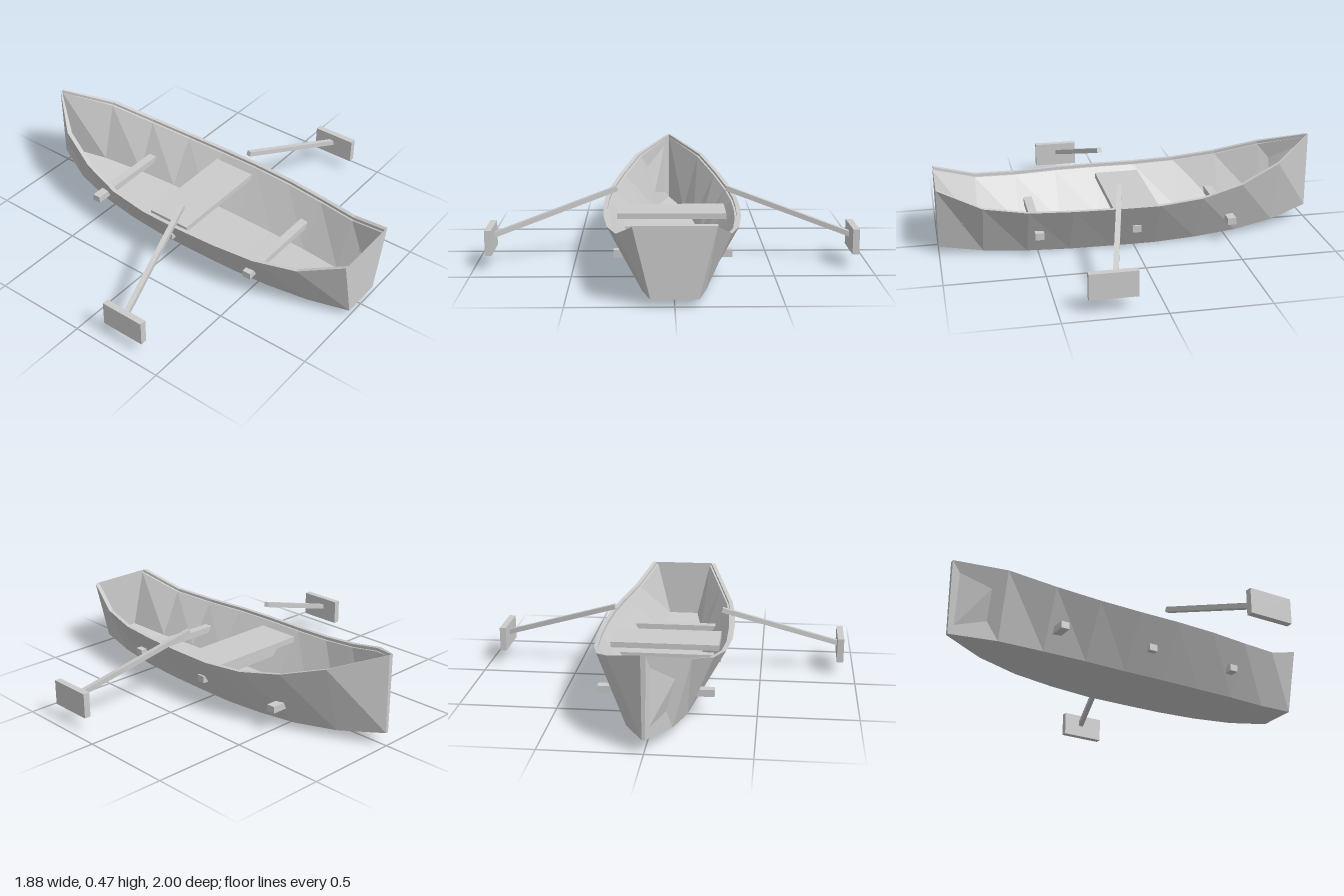
import * as THREE from 'three';

const mat = new THREE.MeshStandardMaterial({ color: 0xcccccc, flatShading: true, side: THREE.DoubleSide });

// Hull stations from stern to bow: [rim half-width, bottom half-width, rim height, bottom height]
const stations = [
  [0.19, 0.11, 0.37, 0.035],
  [0.27, 0.15, 0.285, 0.012],
  [0.32, 0.178, 0.265, 0.004],
  [0.345, 0.19, 0.265, 0],
  [0.355, 0.195, 0.265, 0],
  [0.355, 0.195, 0.265, 0],
  [0.335, 0.185, 0.28, 0.008],
  [0.285, 0.16, 0.32, 0.02],
  [0.2, 0.11, 0.39, 0.042],
  [0.012, 0.008, 0.475, 0.07],
];

function mesh(name, geometry) {
  const m = new THREE.Mesh(geometry, mat);
  m.name = name;
  return m;
}

function box(name, w, h, d, x, y, z) {
  const m = mesh(name, new THREE.BoxGeometry(w, h, d));
  m.position.set(x, y, z);
  return m;
}

function surface(name, positions, index) {
  const g = new THREE.BufferGeometry();
  g.setAttribute('position', new THREE.Float32BufferAttribute(positions, 3));
  g.setIndex(index);
  g.computeVertexNormals();
  return mesh(name, g);
}

// Closed wall section: outer side, stepped gunwale, inner side, floor, then mirrored
function hullSection([w, b, top, bottom]) {
  const half = [
    [b, bottom],
    [w, top],
    [w - 0.022, top],
    [w - 0.022, top - 0.015],
    [w - 0.032, top - 0.015],
    [b - 0.025, bottom + 0.015],
  ].map(([x, y]) => [Math.max(x, 0.001), y]);
  return [...half, ...half.slice().reverse().map(([x, y]) => [-x, y])];
}

function createHull() {
  const positions = [], index = [], n = 12;
  stations.forEach((s, i) => {
    const z = 1 - (2 * i) / (stations.length - 1);
    for (const [x, y] of hullSection(s)) positions.push(x, y, z);
    if (i === 0) return;
    for (let j = 0; j < n; j++) {
      const k = (j + 1) % n, a = (i - 1) * n, c = i * n;
      index.push(a + j, c + j, a + k, c + j, c + k, a + k);
    }
  });
  return surface('hull', positions, index);
}

// Flat plate closing one end of the hull
function endPlate(name, [w, b, top, bottom], z) {
  const corners = [-b, bottom, z, b, bottom, z, w, top, z, -w, top, z];
  return surface(name, corners, z > 0 ? [0, 1, 2, 0, 2, 3] : [0, 2, 1, 0, 3, 2]);
}

function createOar(side) {
  const oar = new THREE.Group();
  oar.name = side > 0 ? 'leftOar' : 'rightOar';
  const grip = new THREE.Vector3(side * 0.285, 0.36, 0.09);
  const tip = new THREE.Vector3(side * 0.915, 0.147, 0.236);
  const shaft = mesh('oarShaft', new THREE.BoxGeometry(0.026, 0.026, grip.distanceTo(tip)));
  shaft.position.copy(grip).lerp(tip, 0.5);
  shaft.lookAt(tip);
  oar.add(shaft, box('oarBlade', 0.034, 0.13, 0.235, side * 0.924, 0.136, 0.247));
  return oar;
}

export function createModel() {
  const boat = new THREE.Group();
  boat.name = 'rowingBoat';
  boat.add(createHull());
  boat.add(endPlate('transom', stations[0], 1));
  boat.add(endPlate('stem', stations[stations.length - 1], -1));

  // Cross beams whose ends poke through the hull sides
  for (const z of [0.5, 0, -0.505]) boat.add(box('crossBeam', 0.58, 0.036, 0.045, 0, 0.122, z));

  boat.add(box('seat', 0.57, 0.03, 0.236, 0, 0.215, -0.003));
  for (const side of [1, -1]) boat.add(createOar(side));
  return boat;
}
